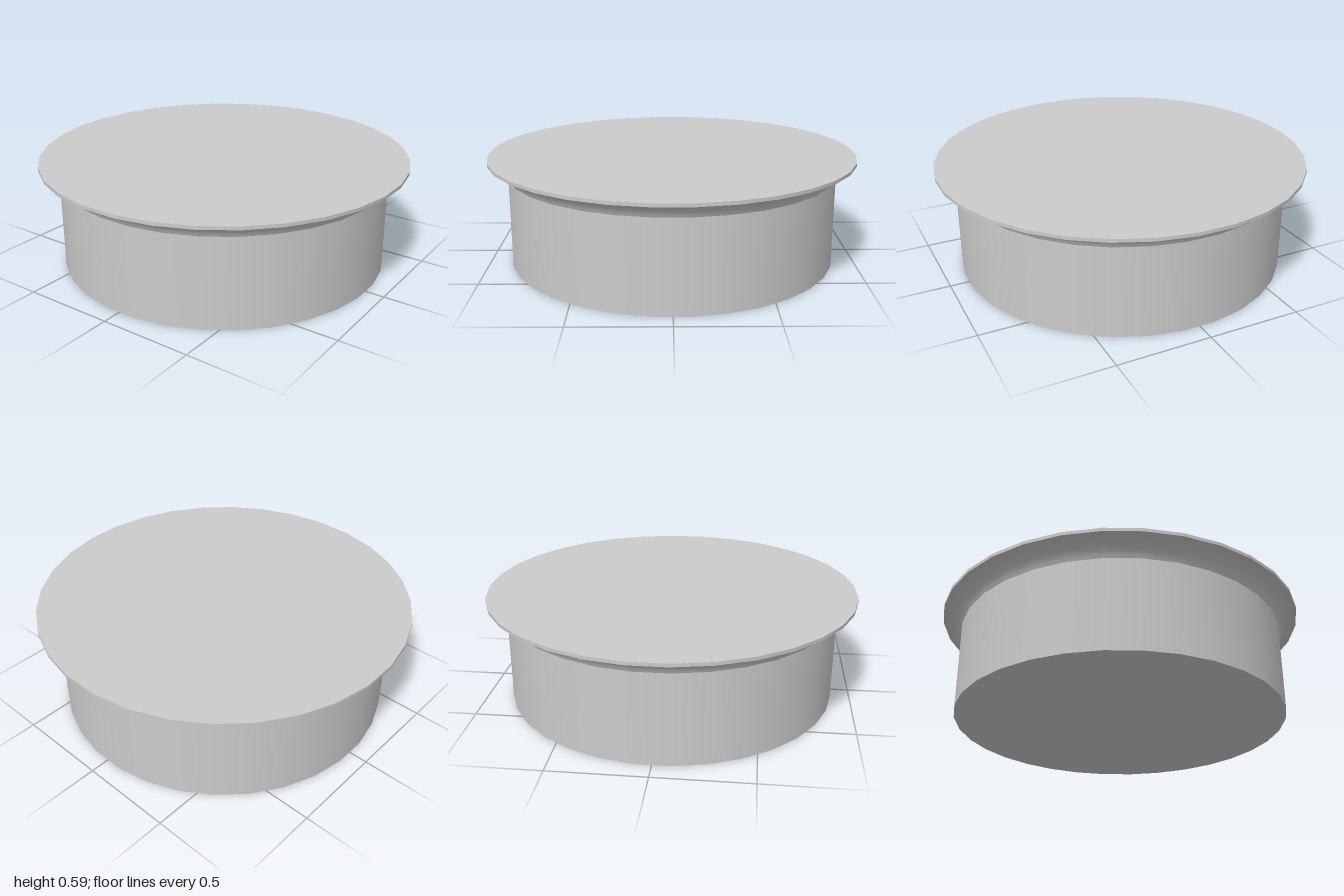
import * as THREE from 'three';

const SIDES = 32;
const STEP = (Math.PI * 2) / SIDES;
// Across-flats radii are widened to the corner radius of the polygon
const CORNER = 1 / Math.cos(STEP / 2);

export function createModel() {
  const model = new THREE.Group();
  model.name = 'flangedPlug';
  const material = new THREE.MeshStandardMaterial({ color: 0xcccccc });

  // Each surface is its own lathe, so edges between them stay sharp
  const turn = (name, points) => {
    const profile = points.map(([r, y]) => new THREE.Vector2(r * CORNER, y));
    const mesh = new THREE.Mesh(new THREE.LatheGeometry(profile, SIDES, STEP / 2), material);
    mesh.name = name;
    model.add(mesh);
  };

  const bodyR = 0.896, neckY = 0.488, rimY = 0.568, topY = 0.586;

  // Cylindrical body
  turn('base', [[0, 0], [bodyR, 0]]);
  turn('body', [[bodyR, 0], [bodyR, neckY]]);

  // Concave flare sweeping out under the flange
  const flare = new THREE.QuadraticBezierCurve(
    new THREE.Vector2(bodyR, neckY),
    new THREE.Vector2(0.925, 0.557),
    new THREE.Vector2(1, rimY)
  );
  turn('flare', flare.getPoints(8).map((p) => [p.x, p.y]));

  // Thin flange edge and flat top
  turn('rim', [[1, rimY], [1, topY]]);
  turn('top', [[1, topY], [0, topY]]);

  return model;
}
